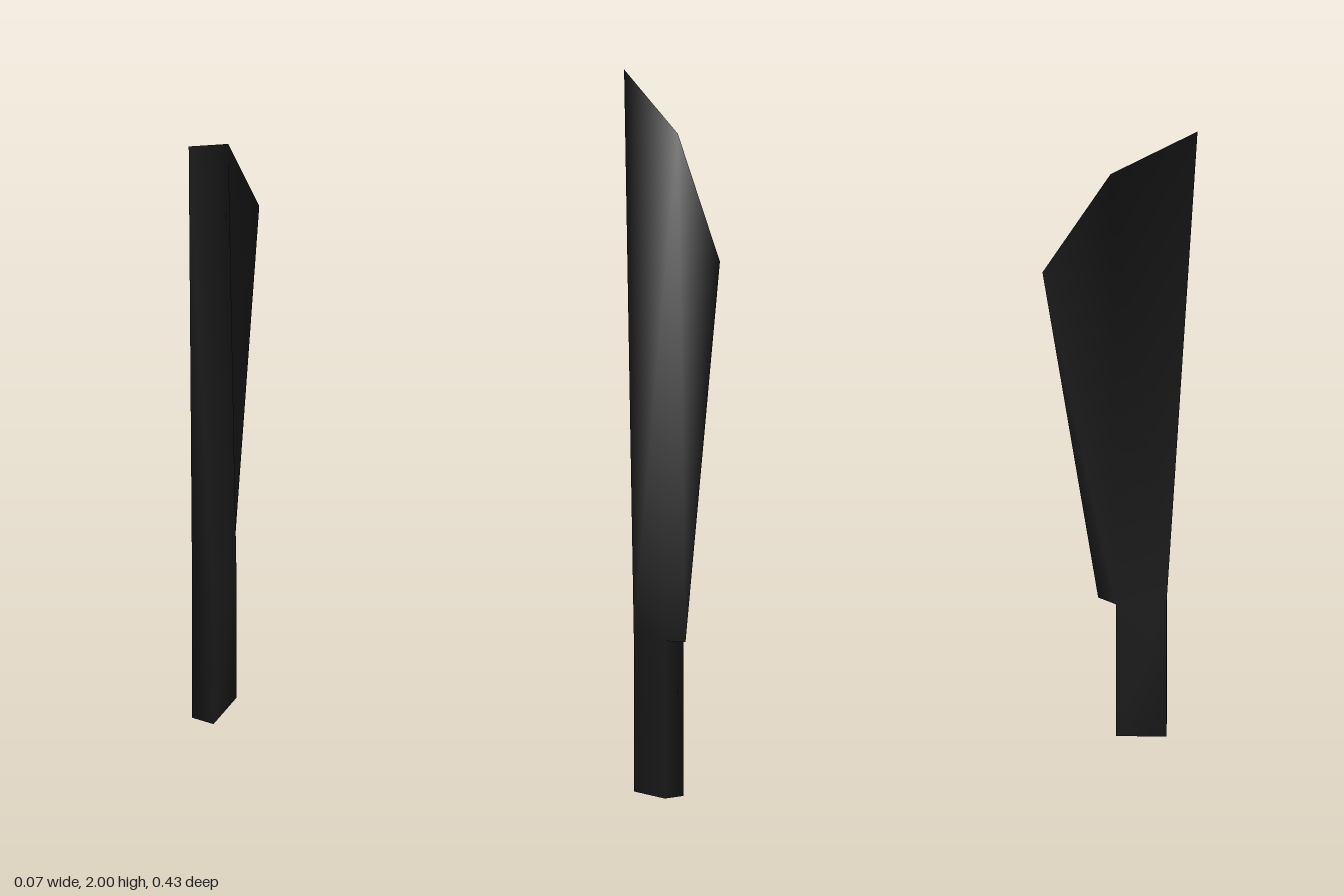
import * as THREE from 'three';

export function createModel() {
  const group = new THREE.Group();
  const black = new THREE.MeshStandardMaterial({ color: 0x1c1c1c });
  black.name = 'matte black';

  // Rectangular grip section, repeated at the butt and where the blade begins
  const w = 0.033, gripTop = 0.44;
  const ring = (y) => [-w, y, 0.128, w, y, 0.128, w, y, -0.01, -w, y, -0.01];

  const points = [
    ...ring(0),         // 0-3 butt
    ...ring(gripTop),   // 4-7 blade root
    0, 2, 0.213,        // 8 tip
    0, 1.855, -0.026,   // 9 shoulder
    0, 1.525, -0.213,   // 10 widest point of the cutting edge
    0, gripTop, -0.06,  // 11 heel of the cutting edge
  ];

  // Grip: four sides and the butt
  const gripFaces = [0, 3, 2, 0, 2, 1];
  for (let i = 0; i < 4; i++) {
    const j = (i + 1) % 4;
    gripFaces.push(i, j, j + 4, i, j + 4, i + 4);
  }

  // Blade: tapers from the root to thin edges; the two cheeks fold differently
  const bladeFaces = [
    4, 5, 8,                       // spine
    5, 6, 9, 5, 9, 8,              // left side
    6, 11, 9, 11, 10, 9,           // left cheek
    4, 8, 9, 4, 9, 7,              // right side
    7, 9, 10, 7, 10, 11,           // right cheek
    6, 7, 11,                      // underside of the heel
  ];

  // Shared smooth normals, so shading runs on from the grip into the blade
  const whole = new THREE.BufferGeometry();
  whole.setAttribute('position', new THREE.Float32BufferAttribute(points, 3));
  whole.setIndex([...gripFaces, ...bladeFaces]);
  whole.computeVertexNormals();

  const addPart = (name, faces) => {
    const geometry = whole.clone();
    geometry.setIndex(faces);
    const mesh = new THREE.Mesh(geometry, black);
    mesh.name = name;
    group.add(mesh);
  };
  addPart('grip', gripFaces);
  addPart('blade', bladeFaces);

  return group;
}
